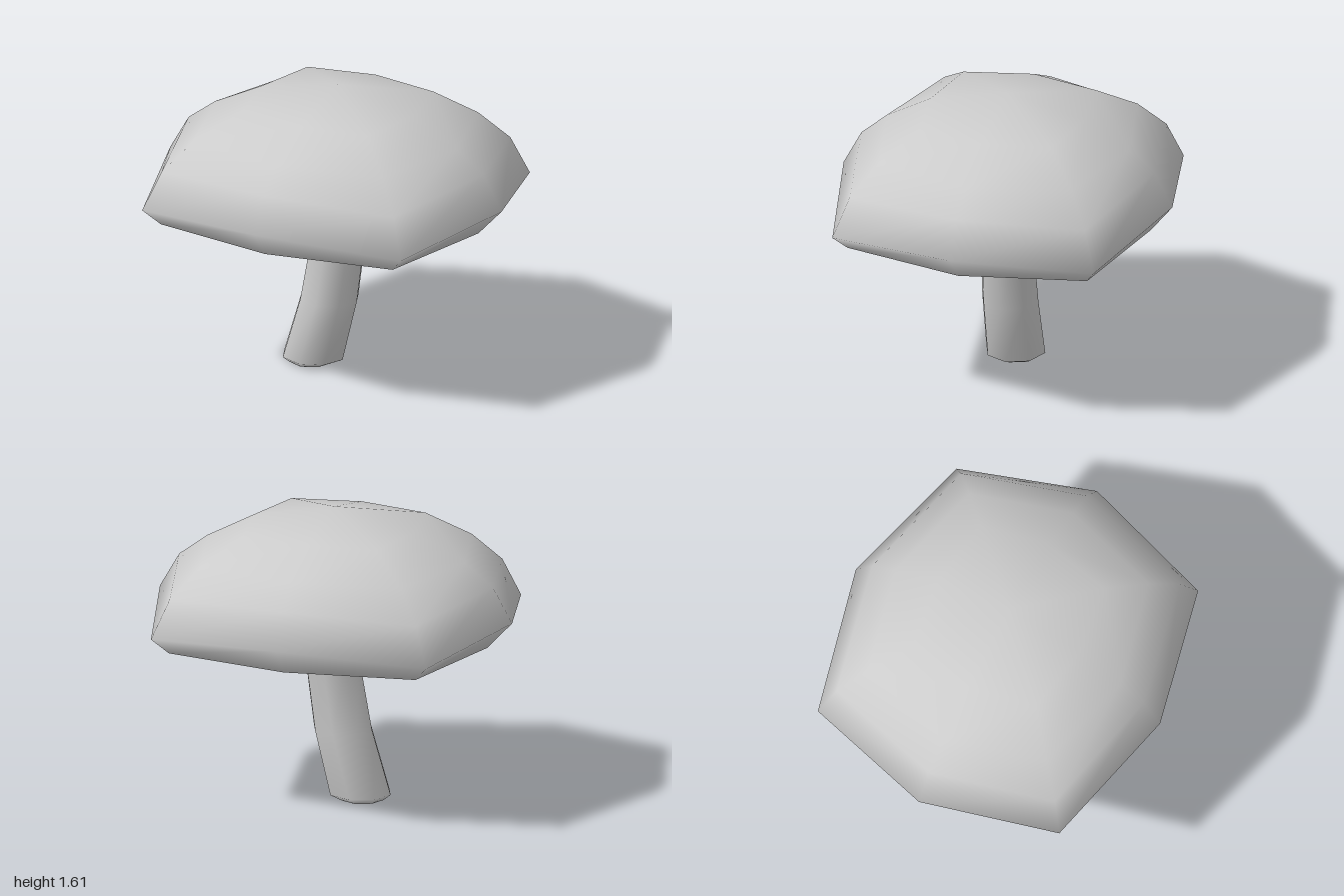
import * as THREE from 'three';
import { mergeVertices } from 'three/addons/utils/BufferGeometryUtils.js';

const SIDES = 8;

// Smooth skin over a stack of eight-sided rings.
// Each ring: centre x, axis radii rx / rz and height y, then the corner point (dx, dz, dy).
function loft(rings) {
  const positions = [];
  const index = [];
  for (const { cx = 0, rx, rz, y, dx = rx * Math.SQRT1_2, dz = rz * Math.SQRT1_2, dy = y } of rings) {
    for (let i = 0; i < SIDES; i++) {
      const a = (i / SIDES) * Math.PI * 2;
      const corner = i % 2 === 1;
      const sx = Math.sign(Math.round(Math.cos(a) * 10));
      const sz = Math.sign(Math.round(Math.sin(a) * 10));
      positions.push(cx + sx * (corner ? dx : rx), corner ? dy : y, sz * (corner ? dz : rz));
    }
  }
  for (let j = 0; j < rings.length - 1; j++) {
    for (let i = 0; i < SIDES; i++) {
      const a = j * SIDES + i;
      const b = j * SIDES + ((i + 1) % SIDES);
      const c = a + SIDES;
      const d = b + SIDES;
      index.push(a, c, b, b, c, d);
    }
  }
  let geometry = new THREE.BufferGeometry();
  geometry.setAttribute('position', new THREE.Float32BufferAttribute(positions, 3));
  geometry.setIndex(index);
  geometry = mergeVertices(geometry, 1e-4);
  geometry.computeVertexNormals();
  return geometry;
}

export function createModel() {
  const group = new THREE.Group();
  group.name = 'mushroom';
  const material = new THREE.MeshStandardMaterial({ color: 0xcccccc, roughness: 0.9 });

  const add = (name, rings) => {
    const mesh = new THREE.Mesh(loft(rings), material);
    mesh.name = name;
    group.add(mesh);
  };

  // Lower lip of the cap, shared by the dome and the underside
  const lip = { rx: 0.86, rz: 0.8, y: 0.91, dx: 0.7, dz: 0.67, dy: 0.905 };

  // Domed cap, its rim dipping at the corners
  add('cap', [
    lip,
    { rx: 1.0, rz: 0.92, y: 1.06, dx: 0.78, dz: 0.73, dy: 0.99 },
    { rx: 0.89, rz: 0.82, y: 1.25, dx: 0.7, dz: 0.66, dy: 1.2 },
    { rx: 0.73, rz: 0.68, y: 1.37, dx: 0.57, dz: 0.54, dy: 1.36 },
    { cx: 0.01, rx: 0.46, rz: 0.43, y: 1.51, dx: 0.38, dz: 0.37, dy: 1.505 },
    { cx: 0.01, rx: 0, rz: 0, y: 1.605 },
  ]);

  // Hollow underside
  add('capUnderside', [
    { cx: 0.04, rx: 0, rz: 0, y: 1.1 },
    lip,
  ]);

  // Leaning stem, flared where it joins the cap
  add('stem', [
    { cx: -0.15, rx: 0, rz: 0, y: 0 },
    { cx: -0.15, rx: 0.12, rz: 0.12, y: 0 },
    { cx: -0.135, rx: 0.175, rz: 0.165, y: 0.033 },
    { cx: -0.04, rx: 0.165, rz: 0.157, y: 0.38 },
    { cx: 0.02, rx: 0.155, rz: 0.148, y: 0.76 },
    { cx: 0.03, rx: 0.19, rz: 0.175, y: 0.92 },
    { cx: 0.04, rx: 0.25, rz: 0.24, y: 1.08 },
  ]);

  return group;
}
